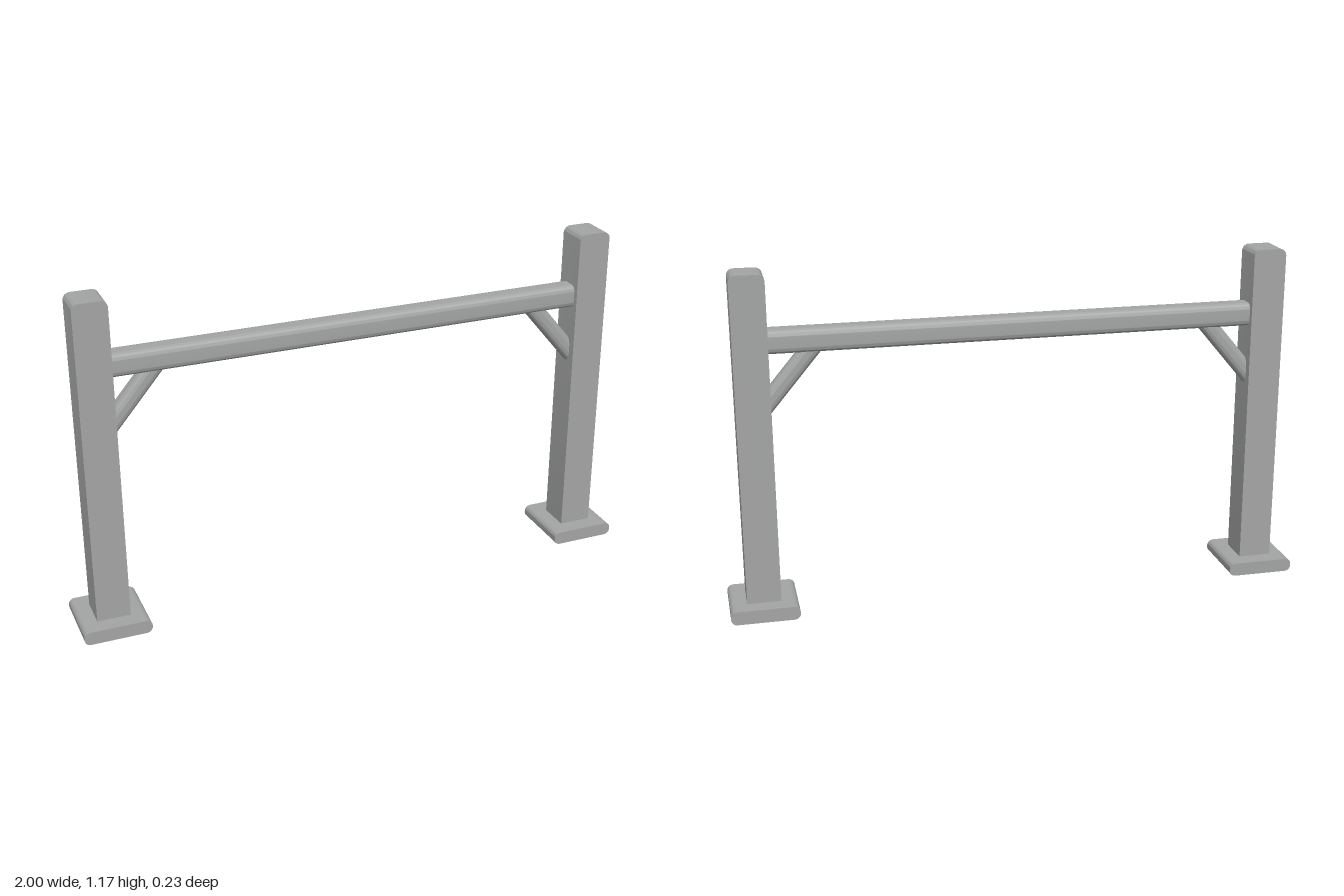
import * as THREE from 'three';
import { toCreasedNormals } from 'three/addons/utils/BufferGeometryUtils.js';

const steel = new THREE.MeshStandardMaterial({ color: 0xa3a5a4 });
steel.name = 'grey steel';

// Bar along z: rectangle w x h with rounded corners (rt top, rb bottom), extruded to length d
function bar(w, h, d, rt, rb = rt) {
  const x = w / 2, y = h / 2;
  const s = new THREE.Shape();
  s.moveTo(-x + rb, -y);
  s.lineTo(x - rb, -y);
  if (rb) s.absarc(x - rb, -y + rb, rb, -Math.PI / 2, 0);
  s.lineTo(x, y - rt);
  s.absarc(x - rt, y - rt, rt, 0, Math.PI / 2);
  s.lineTo(-x + rt, y);
  s.absarc(-x + rt, y - rt, rt, Math.PI / 2, Math.PI);
  s.lineTo(-x, -y + rb);
  if (rb) s.absarc(-x + rb, -y + rb, rb, Math.PI, Math.PI * 1.5);
  const g = new THREE.ExtrudeGeometry(s, { depth: d, bevelEnabled: false, curveSegments: 6 });
  g.translate(0, 0, -d / 2);
  return toCreasedNormals(g, 0.6);
}

function add(parent, name, geometry, x, y) {
  const m = new THREE.Mesh(geometry, steel);
  m.name = name;
  m.position.set(x, y, 0);
  parent.add(m);
  return m;
}

export function createModel() {
  const model = new THREE.Group();
  model.name = 'barFrame';

  const foot = bar(0.232, 0.047, 0.235, 0.021);
  const post = bar(0.115, 1.13, 0.116, 0.024, 0);

  // Brace centre line, running from inside the post to inside the crossbar
  const low = new THREE.Vector2(0.857, 0.707);
  const high = new THREE.Vector2(0.664, 0.936);
  const mid = low.clone().add(high).multiplyScalar(0.5);
  const angle = Math.atan2(high.y - low.y, low.x - high.x);
  const brace = bar(0.06, 0.06, low.distanceTo(high), 0.022).rotateY(Math.PI / 2);

  for (const side of [1, -1]) {
    const name = side > 0 ? 'left' : 'right';
    add(model, name + 'Foot', foot, side * 0.884, 0.0235);
    add(model, name + 'Post', post, side * 0.884, 0.61);
    add(model, name + 'Brace', brace, side * mid.x, mid.y).rotation.z = -side * angle;
  }

  // Crossbar between the posts
  add(model, 'crossbar', bar(0.08, 0.08, 1.67, 0.021).rotateY(Math.PI / 2), 0, 0.944);
  return model;
}
